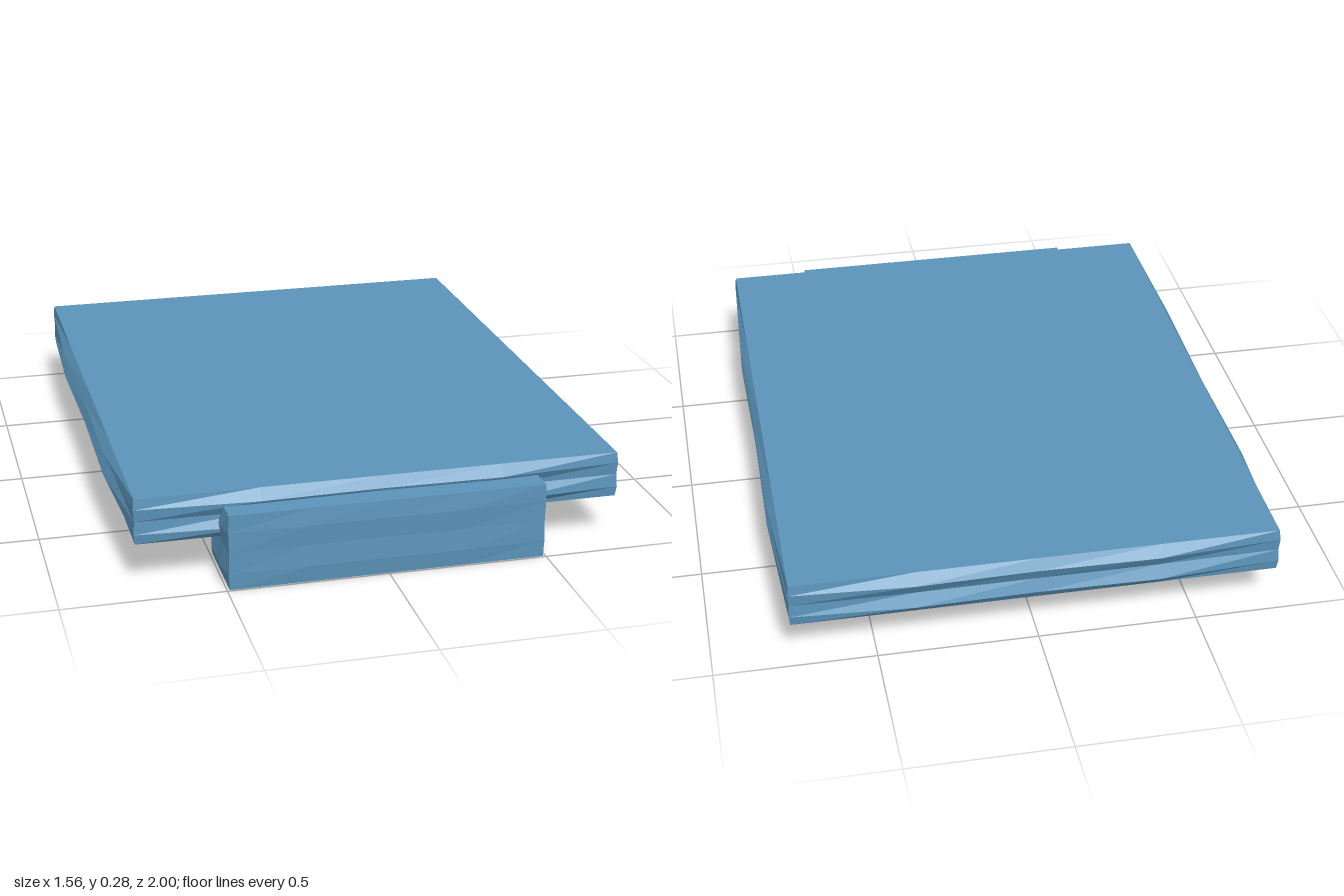
import * as THREE from 'three';

const blue = new THREE.MeshStandardMaterial({ color: 0x5b93b9, flatShading: true });
blue.name = 'blue';
const bead = (name, color) => {
  const m = new THREE.MeshStandardMaterial({ color });
  m.name = name;
  return m;
};
const gold = bead('gold', 0xd2b568);
const teal = bead('teal', 0x86cdd3);
const beige = bead('beige', 0xd8cbb6);

// Box whose walls bulge in two ridges with a shallow groove between them.
function ridgedBox(name, halfX, halfZ, height, bulgeX, bulgeZ) {
  const levels = [[0, 0], [0.22, 1], [0.5, 0.2], [0.77, 1], [1, 0]]; // height fraction, bulge
  const along = [0.15, 1, 0.75, 1]; // bulge along each wall, from its corner
  const n = 16;
  const pos = [];
  for (const [h, amount] of levels) {
    for (let side = 0; side < 4; side++) {
      for (let k = 0; k < 4; k++) {
        const t = -1 + k / 2;
        const out = amount * along[k];
        const corner = k === 0 ? out : 0;
        // walls in turn: +z, +x, -z, -x
        const u = [t - 0, 1, -t, -1][side];
        const v = [1, -t, -1, t][side];
        const outX = side % 2 ? out : corner;
        const outZ = side % 2 ? corner : out;
        pos.push(u * halfX + Math.sign(u) * outX * bulgeX, h * height, v * halfZ + Math.sign(v) * outZ * bulgeZ);
      }
    }
  }
  const index = [];
  const rows = levels.length;
  for (let r = 0; r < rows - 1; r++) {
    for (let i = 0; i < n; i++) {
      const a = r * n + i, b = r * n + (i + 1) % n;
      index.push(a, b, b + n, a, b + n, a + n);
    }
  }
  // flat caps
  const bottom = rows * n, top = bottom + 1, last = (rows - 1) * n;
  pos.push(0, 0, 0, 0, height, 0);
  for (let i = 0; i < n; i++) {
    const j = (i + 1) % n;
    index.push(bottom, j, i, top, last + i, last + j);
  }
  const geo = new THREE.BufferGeometry();
  geo.setAttribute('position', new THREE.Float32BufferAttribute(pos, 3));
  geo.setIndex(index);
  geo.computeVertexNormals();
  const mesh = new THREE.Mesh(geo, blue);
  mesh.name = name;
  return mesh;
}

export function createModel() {
  const model = new THREE.Group();
  model.name = 'slabWithBeads';

  const slab = ridgedBox('slab', 0.757, 0.938, 0.145, 0.024, 0.028);
  slab.position.set(0, 0.14, -0.035);
  model.add(slab);

  // block under the front edge
  const block = ridgedBox('frontBlock', 0.492, 0.13, 0.24, 0.016, 0.006);
  block.position.set(0, 0.003, 0.864);
  model.add(block);

  // loose beads beneath the slab: x, z, colour
  const beads = new THREE.Group();
  beads.name = 'beads';
  const sphere = new THREE.SphereGeometry(0.05, 32, 20);
  [
    [-0.17, 0.45, teal], [0.165, 0.29, beige], [0.49, 0.132, gold], [-0.325, -0.027, beige],
    [0, -0.185, gold], [0.33, -0.343, teal], [-0.49, -0.5, gold],
  ].forEach(([x, z, material], i) => {
    const ball = new THREE.Mesh(sphere, material);
    ball.name = `bead${i + 1}`;
    ball.position.set(x, 0.077, z);
    beads.add(ball);
  });
  model.add(beads);
  return model;
}
